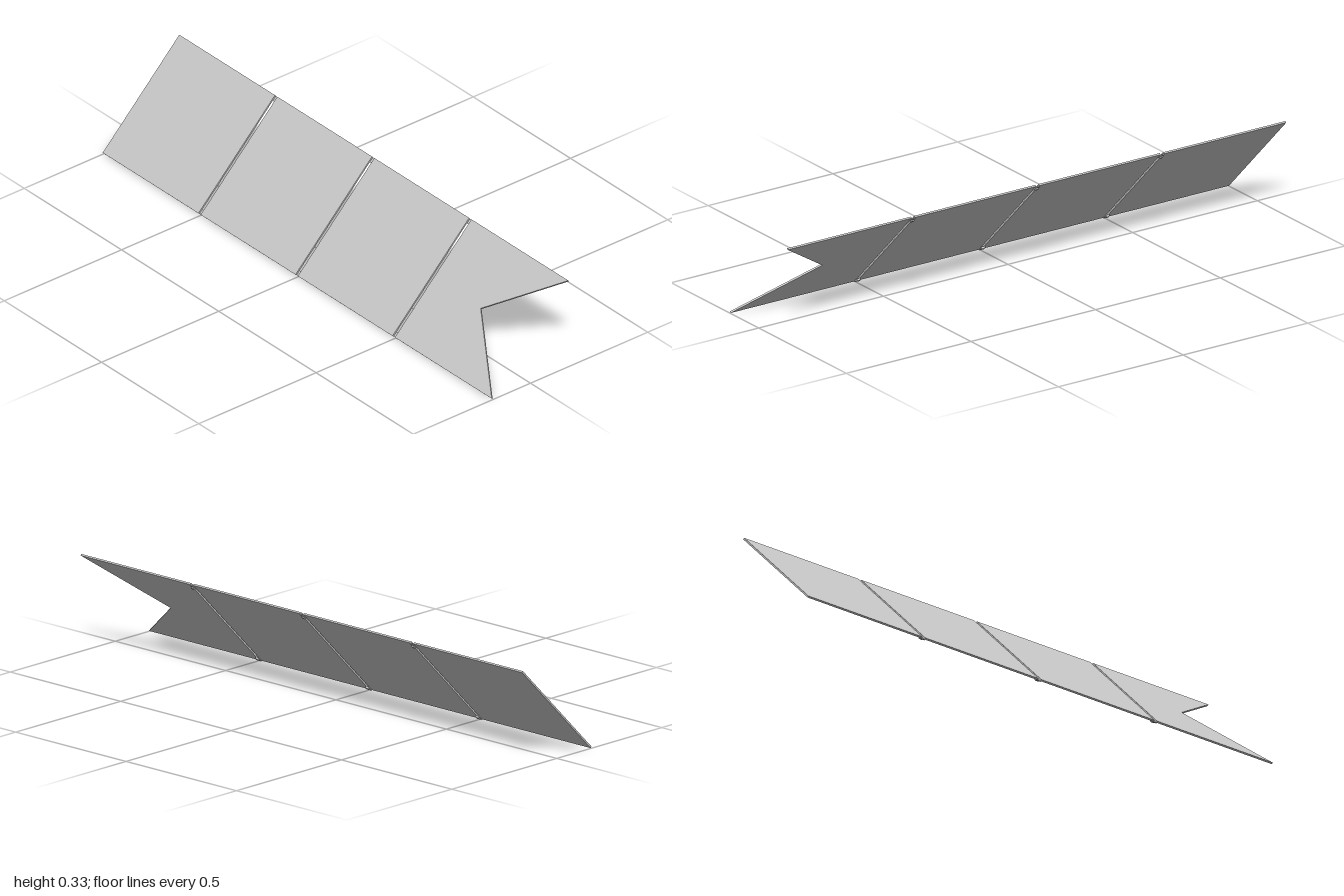
import * as THREE from 'three';

export function createModel() {
  const model = new THREE.Group();
  model.name = 'foldingPennantSign';
  const grey = new THREE.MeshStandardMaterial({ color: 0xc4c4c4 });
  grey.name = 'light grey sheet';

  const H = 0.231;   // half the height along the slope
  const T = 0.006;   // sheet thickness
  const GAP = 0.012; // slot between panels
  const joints = [-0.502, -0.003, 0.496];

  // everything is built upright, then leaned back by 45 degrees
  const board = new THREE.Group();
  board.name = 'leaningBoard';
  board.rotation.x = -Math.PI / 4;
  board.position.y = 0.1655;
  model.add(board);

  function addPanel(name, points) {
    const shape = new THREE.Shape(points.map(([x, y]) => new THREE.Vector2(x, y)));
    const geo = new THREE.ExtrudeGeometry(shape, { depth: T, bevelEnabled: false });
    geo.translate(0, 0, -T / 2);
    const mesh = new THREE.Mesh(geo, grey);
    mesh.name = name;
    board.add(mesh);
  }

  // three rectangular panels
  joints.forEach((joint, i) => {
    const x0 = i === 0 ? -1 : joints[i - 1] + GAP / 2;
    const x1 = joint - GAP / 2;
    addPanel('panel' + (i + 1), [[x0, -H], [x1, -H], [x1, H], [x0, H]]);
  });

  // swallow-tailed end panel
  const tail = joints[2] + GAP / 2;
  addPanel('tailPanel', [[tail, -H], [1, -H], [0.746, 0], [1, H], [tail, H]]);

  // small hinges behind the sheet at both ends of every slot
  function addBox(parent, name, w, h, d, y, z) {
    const mesh = new THREE.Mesh(new THREE.BoxGeometry(w, h, d), grey);
    mesh.name = name;
    mesh.position.set(0, y, z);
    parent.add(mesh);
  }
  for (const x of joints) {
    for (const side of [-1, 1]) {
      const hinge = new THREE.Group();
      hinge.name = side > 0 ? 'upperHinge' : 'lowerHinge';
      hinge.position.x = x;
      addBox(hinge, 'hingeLeaf', 0.016, 0.018, 0.003, side * (H - 0.01), -T / 2 - 0.0015);
      addBox(hinge, 'hingeKnuckle', 0.012, 0.009, 0.006, side * (H - 0.0145), -T / 2 - 0.004);
      board.add(hinge);
    }
  }
  return model;
}
